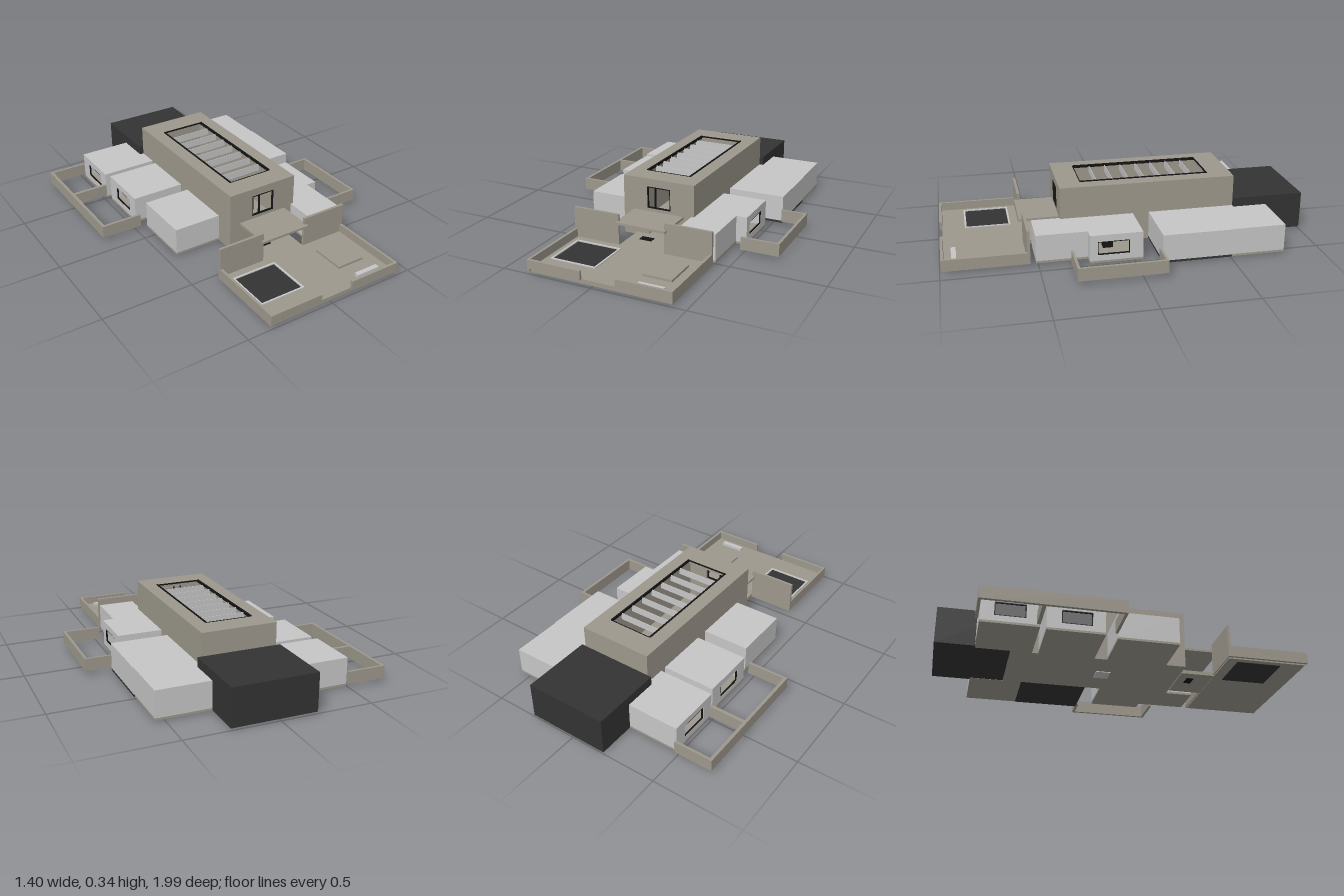
import * as THREE from 'three';

const mat = (name, color, extra = {}) => Object.assign(new THREE.MeshStandardMaterial({ color, ...extra }), { name });

export function createModel() {
  const stone = mat('warm stone', 0x9d988c);
  const pale = mat('pale concrete', 0xc6c6c6);
  const dark = mat('charcoal', 0x333333);
  const black = mat('black metal', 0x141414);

  const model = new THREE.Group();
  model.name = 'museum';

  // Box given by its extents
  const box = (name, m, x0, x1, y0, y1, z0, z1, parent = model) => {
    const mesh = new THREE.Mesh(new THREE.BoxGeometry(x1 - x0, y1 - y0, z1 - z0), m);
    mesh.position.set((x0 + x1) / 2, (y0 + y1) / 2, (z0 + z1) / 2);
    mesh.name = name;
    parent.add(mesh);
    return mesh;
  };
  const group = (name) => {
    const g = new THREE.Group();
    g.name = name;
    model.add(g);
    return g;
  };
  // Extruded panel with rectangular openings, in its own plane
  const panel = (name, m, rect, holes, depth, parent) => {
    const trace = (p, [u0, u1, v0, v1]) =>
      p.moveTo(u0, v0).lineTo(u1, v0).lineTo(u1, v1).lineTo(u0, v1).closePath();
    const shape = trace(new THREE.Shape(), rect);
    holes.forEach((h) => shape.holes.push(trace(new THREE.Path(), h)));
    const mesh = new THREE.Mesh(new THREE.ExtrudeGeometry(shape, { depth, bevelEnabled: false }), m);
    mesh.name = name;
    parent.add(mesh);
    return mesh;
  };

  // Central hall
  const hall = group('hall');
  const [hx0, hx1, hz0, hz1, top] = [-0.175, 0.237, -0.605, 0.357, 0.34];
  const t = 0.02;
  box('hallFloor', stone, hx0, hx1, 0.012, 0.026, hz0, hz1, hall);
  box('hallWallRight', stone, hx0, hx0 + t, 0.026, top, hz0, hz1, hall);
  box('hallWallLeft', stone, hx1 - t, hx1, 0.026, top, hz0, hz1, hall);
  box('hallWallBack', stone, hx0 + t, hx1 - t, 0.026, top, hz0, hz0 + t, hall);
  const win = [-0.035, 0.1, 0.176, 0.296];
  const front = panel('hallWallFront', stone, [hx0 + t, hx1 - t, 0.026, top],
    [win, [-0.025, 0.088, 0.027, 0.141]], t, hall);
  front.position.z = hz1 - t;
  box('rearPassage', dark, -0.03, 0.093, 0.026, 0.15, hz0 + t, hz0 + t + 0.005, hall);

  // Roof with long skylight
  const sky = [-0.095, 0.158, -0.475, 0.235];
  const roof = panel('hallRoof', stone, [hx0 + t, hx1 - t, -hz1 + t, -hz0 - t],
    [[sky[0], sky[1], -sky[3], -sky[2]]], 0.02, hall);
  roof.rotation.x = -Math.PI / 2;
  roof.position.y = top - 0.02;
  for (const x of [sky[0], sky[1]]) {
    box('skylightRail', black, x - 0.004, x + 0.004, 0.33, 0.345, sky[2], sky[3], hall);
  }
  for (const z of [sky[2], sky[3]]) box('skylightEnd', black, sky[0], sky[1], 0.334, 0.342, z - 0.002, z + 0.002, hall);
  for (let i = 0; i < 7; i++) {
    const z = -0.39 + i * 0.0885;
    box('skylightFin', pale, sky[0], sky[1], 0.297, 0.337, z - 0.0015, z + 0.0015, hall);
  }

  // Window frame over the entrance
  const frame = panel('windowFrame', black, win,
    [[win[0] + 0.005, 0.008, win[2] + 0.005, win[3] - 0.005],
      [0.013, win[1] - 0.005, win[2] + 0.005, win[3] - 0.005]], 0.012, hall);
  frame.position.z = hz1 - 0.011;
  box('displayTable', pale, -0.012, 0.076, 0.008, 0.045, -0.11, -0.03, hall);

  // Rear block
  box('rearBlock', dark, -0.198, 0.26, 0.013, 0.217, -1, -0.605);

  // Side rooms: side is the sign of the outer x face; win gives [z0, z1]
  const room = (name, side, outer, inner, z0, z1, opening, floorMat = stone) => {
    const g = group(name);
    const [x0, x1] = side > 0 ? [inner, outer] : [outer, inner];
    const w = 0.012;
    box('roomFloor', floorMat, x0, x1, 0.012, 0.024, z0, z1, g);
    if (!opening) {
      box('roomBody', pale, x0, x1, 0.024, 0.167, z0, z1, g);
      return;
    }
    box('roomRoof', pale, x0, x1, 0.155, 0.167, z0, z1, g);
    box('roomWallBack', pale, x0, x1, 0.024, 0.155, z0, z0 + w, g);
    box('roomWallFront', pale, x0, x1, 0.024, 0.155, z1 - w, z1, g);
    const hole = [-opening[1], -opening[0], 0.055, 0.13];
    const px = side > 0 ? outer - w : outer;
    const wall = panel('windowWall', pale, [-z1 + w, -z0 - w, 0.024, 0.155], [hole], w, g);
    wall.rotation.y = Math.PI / 2;
    wall.position.x = px;
    const rim = panel('windowFrame', black, hole,
      [[hole[0] + 0.005, hole[1] - 0.005, hole[2] + 0.005, hole[3] - 0.005]], 0.008, g);
    rim.rotation.y = Math.PI / 2;
    rim.position.x = px + 0.002;
  };
  room('rightRoomBack', -1, -0.488, hx0, -0.79, -0.49, [-0.72, -0.56]);
  room('rightRoomMiddle', -1, -0.473, hx0, -0.457, -0.153, [-0.38, -0.22]);
  room('rightRoomFront', -1, -0.44, hx0, -0.083, 0.246, null);
  room('leftRoomBack', 1, 0.552, hx1, -0.79, -0.5, null);
  room('leftRoomMiddle', 1, 0.556, hx1, -0.5, -0.128, null, dark);
  room('leftRoomWindow', 1, 0.487, hx1, 0.04 * -1, 0.241, [0.03, 0.2]);
  room('leftRoomFront', 1, 0.427, 0.222, 0.241, 0.512, null);
  box('roomPlinth', black, 0.3, 0.34, 0.024, 0.128, 0.09, 0.145);

  // Low courtyard walls
  const yard = group('courtyardWalls');
  const low = (x0, x1, z0, z1) => box('courtyardWall', stone, x0, x1, 0.027, 0.096, z0, z1, yard);
  low(-0.704, -0.687, -0.81, -0.09);
  low(-0.687, -0.488, -0.81, -0.796);
  low(-0.687, -0.488, -0.507, -0.488);
  low(-0.687, -0.473, -0.105, -0.09);
  low(0.685, 0.7, -0.122, 0.338);
  low(0.556, 0.685, -0.122, -0.109);
  low(0.49, 0.685, 0.324, 0.338);

  // Front terrace; the pool passes through the slab
  const terrace = group('terrace');
  const pool = [-0.32, -0.065, 0.604, 0.852];
  const slab = panel('terraceSlab', stone, [-0.352, 0.412, -0.98, -0.545],
    [[pool[0], pool[1], -pool[3], -pool[2]]], 0.024, terrace);
  slab.rotation.x = -Math.PI / 2;
  slab.position.y = 0.004;
  box('pool', dark, pool[0], pool[1], 0.002, 0.027, pool[2], pool[3], terrace);
  const curb = panel('poolCurb', pale, [pool[0] - 0.003, pool[1] + 0.003, -pool[3] - 0.003, -pool[2] + 0.003],
    [[pool[0] + 0.007, pool[1] - 0.007, -pool[3] + 0.007, -pool[2] - 0.007]], 0.006, terrace);
  curb.rotation.x = -Math.PI / 2;
  curb.position.y = 0.027;
  for (const [x0, x1] of [[-0.366, -0.352], [0.412, 0.427]]) {
    box('sideParapet', stone, x0, x1, 0.012, 0.074, 0.553, 0.993, terrace);
  }
  box('frontParapetRight', stone, -0.352, -0.063, 0.026, 0.074, 0.978, 0.993, terrace);
  box('frontParapetLeft', stone, 0.128, 0.412, 0.026, 0.074, 0.978, 0.993, terrace);
  box('screenWallRight', stone, -0.366, -0.1, 0.012, 0.195, 0.54, 0.555, terrace);
  box('screenWallLeft', stone, 0.163, 0.427, 0.012, 0.195, 0.54, 0.555, terrace);
  box('raisedPlatform', stone, 0.184, 0.342, 0.027, 0.04, 0.64, 0.826, terrace);
  box('bench', pale, 0.214, 0.352, 0.027, 0.046, 0.913, 0.939, terrace);

  // Entrance passage
  const entrance = group('entrance');
  box('passageFloor', stone, -0.1, 0.163, 0.006, 0.026, hz1, 0.545, entrance);
  box('canopy', stone, -0.113, 0.176, 0.145, 0.158, hz1, 0.572, entrance);
  box('floorGrate', black, -0.04, 0.03, 0.004, 0.029, 0.405, 0.445, entrance);

  return model;
}
